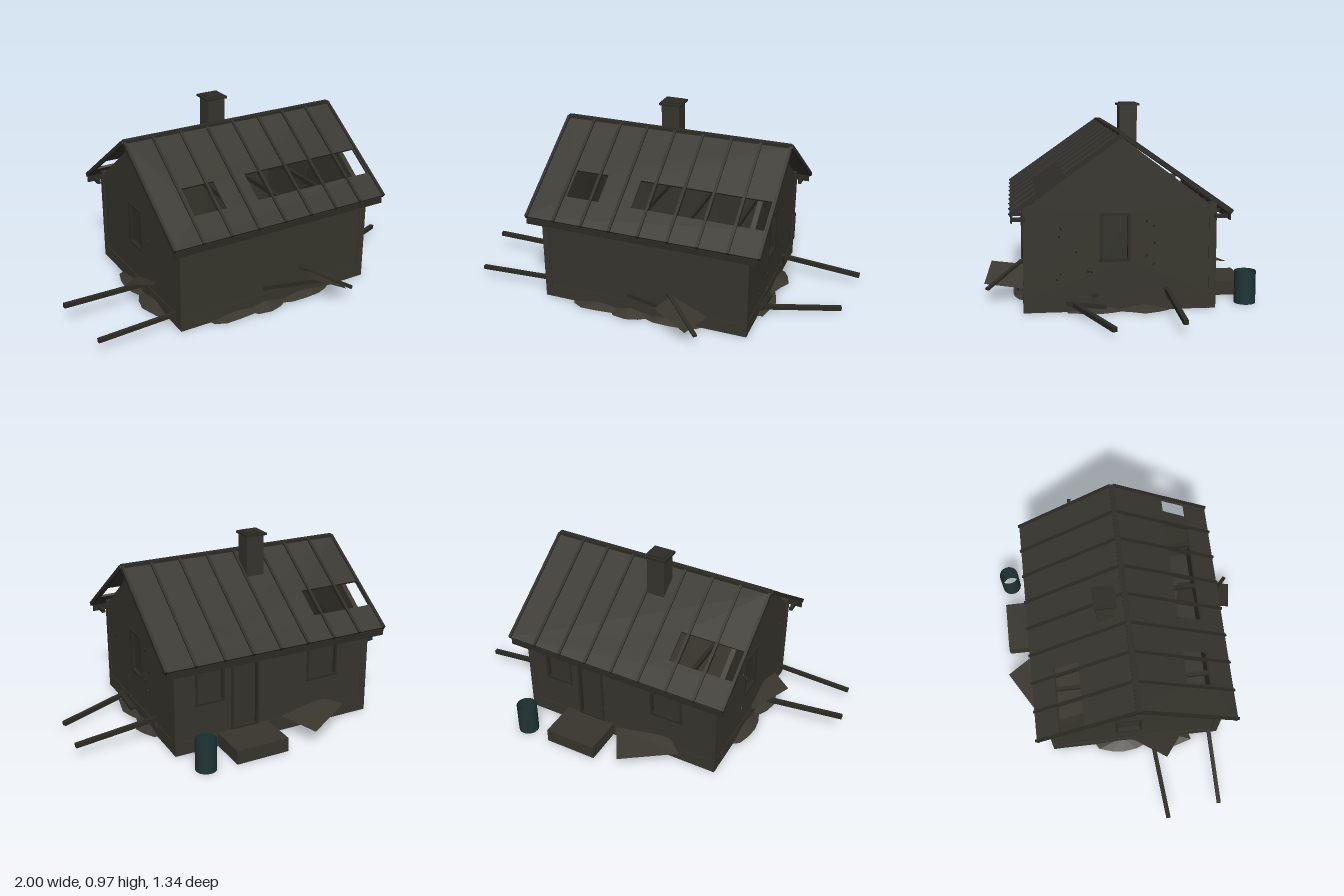
import * as THREE from 'three';

const mat = (name, color, side = THREE.FrontSide) => {
  const m = new THREE.MeshStandardMaterial({ color, side });
  m.name = name;
  return m;
};

export function createModel() {
  const house = new THREE.Group();
  house.name = 'ruinedHouse';
  const wallMat = mat('wall', 0x37352d), roofMat = mat('roof', 0x38362f);
  const trimMat = mat('trim', 0x2c2b25), woodMat = mat('oldWood', 0x2b2a23);
  const paneMat = mat('pane', 0x33322b), rubbleMat = mat('rubble', 0x38362d, THREE.DoubleSide);
  const barrelMat = mat('barrel', 0x1f3536, THREE.DoubleSide);

  let seed = 7;
  const rand = () => (seed = (seed * 16807) % 2147483647) / 2147483647;
  const CX = 0.02, CZ = 0.01; // middle of the house

  const add = (name, geo, material, parent = house) => {
    const m = new THREE.Mesh(geo, material);
    m.name = name;
    parent.add(m);
    return m;
  };
  // box from its minimum and maximum corners
  const box = (name, a, b, material, parent) => {
    const m = add(name, new THREE.BoxGeometry(b[0] - a[0], b[1] - a[1], b[2] - a[2]), material, parent);
    m.position.set((a[0] + b[0]) / 2, (a[1] + b[1]) / 2, (a[2] + b[2]) / 2);
    return m;
  };
  // square timber between two points
  const beam = (name, a, b, w, h = w, material = woodMat) => {
    const p = new THREE.Vector3(...a), q = new THREE.Vector3(...b);
    const m = add(name, new THREE.BoxGeometry(w, h, p.distanceTo(q)), material);
    m.position.copy(p).add(q).multiplyScalar(0.5);
    m.lookAt(q);
    return m;
  };
  const polygon = (pts, holes = []) => {
    const s = new THREE.Shape(pts.map((p) => new THREE.Vector2(...p)));
    for (const [x0, y0, x1, y1] of holes) {
      s.holes.push(new THREE.Path([[x0, y0], [x0, y1], [x1, y1], [x1, y0]].map((p) => new THREE.Vector2(...p))));
    }
    return s;
  };
  const slab = (shape, depth) => new THREE.ExtrudeGeometry(shape, { depth, bevelEnabled: false });

  // raised floor inside a foundation ring, with a hatch frame below
  box('floor', [-0.51, 0.045, -0.43], [0.55, 0.07, 0.45], wallMat);
  for (const z of [-0.453, 0.448]) box('foundation', [-0.525, 0, z], [0.565, 0.07, z + 0.025], wallMat);
  for (const x of [-0.533, 0.548]) box('foundation', [x, 0, -0.42], [x + 0.025, 0.07, 0.44], wallMat);
  for (const x of [-0.11, 0.14]) box('hatchFrame', [x, 0.025, -0.1], [x + 0.015, 0.046, 0.12], wallMat);
  for (const z of [-0.1, 0.105]) box('hatchFrame', [-0.095, 0.025, z], [0.14, 0.046, z + 0.015], wallMat);

  // window or door: pane set back in the opening, with a frame round it (local z is outward)
  const opening = (name, [x0, y0, x1, y1], parent) => {
    const g = new THREE.Group();
    g.name = name;
    parent.add(g);
    box(name + 'Pane', [x0, y0, 0.002], [x1, y1, 0.008], paneMat, g);
    for (const x of [x0, x1]) box(name + 'Jamb', [x - 0.006, y0, 0.008], [x + 0.006, y1, 0.028], trimMat, g);
    for (const y of [y0, y1]) box(name + 'Rail', [x0 - 0.008, y - 0.006, 0.008], [x1 + 0.008, y + 0.006, 0.03], trimMat, g);
  };
  // wall with openings; its outer face is local z = 0.025
  const wall = (name, pts, openings, pos, turn) => {
    const g = new THREE.Group();
    g.name = name;
    g.position.set(...pos);
    g.rotation.y = turn;
    house.add(g);
    add(name + 'Panel', slab(polygon(pts, openings.map((o) => o[1])), 0.025), wallMat, g);
    openings.forEach(([n, r]) => opening(n, r, g));
  };
  const side = [[-0.55, 0.06], [0.55, 0.06], [0.55, 0.48], [-0.55, 0.48]];
  wall('frontWall', side, [], [CX, 0, 0.445], 0);
  wall('backWall', side, [
    ['backWindow', [-0.435, 0.25, -0.29, 0.46]],
    ['door', [-0.24, 0.075, -0.1, 0.46]],
    ['backWindow', [0.19, 0.25, 0.36, 0.46]],
  ], [CX, 0, -0.425], Math.PI);
  const gable = [[-0.46, 0.06], [0.46, 0.06], [0.46, 0.5], [0.43, 0.51], [0, 0.835], [-0.43, 0.51], [-0.46, 0.5]];
  wall('leftGable', gable, [['gableWindow', [-0.092, 0.246, 0.04, 0.468]]], [0.545, 0, CZ], Math.PI / 2);
  wall('rightGable', gable, [['gableWindow', [-0.105, 0.246, 0.027, 0.468]]], [-0.505, 0, CZ], -Math.PI / 2);

  // corner boards
  for (const x of [-0.516, 0.556]) for (const z of [-0.435, 0.455]) {
    box('cornerBoard', [x - 0.018, 0, z - 0.018], [x + 0.018, 0.52, z + 0.018], wallMat);
  }

  // roof slopes with torn openings, standing seams and rafters
  const run = 0.515, rise = 0.362, len = Math.hypot(run, rise), pitch = Math.atan2(rise, run);
  const slopes = [[1, [[-0.417, -0.24], [-0.06, 0.622]]], [-1, [[-0.58, -0.24]]]];
  for (const [s, gaps] of slopes) {
    const turn = new THREE.Group(), g = new THREE.Group();
    turn.name = s > 0 ? 'frontRoof' : 'backRoof';
    turn.position.set(0, 0.837, CZ);
    turn.rotation.y = s > 0 ? 0 : Math.PI;
    g.rotation.x = pitch - Math.PI / 2;
    turn.add(g);
    house.add(turn);
    const x0 = s > 0 ? -0.59 : -0.635, x1 = x0 + 1.225;
    const holes = gaps.map(([a, b]) => [Math.min(a * s, b * s), -0.48, Math.max(a * s, b * s), -0.32]);
    add('roofSheet', slab(polygon([[x0, -len], [x1, -len], [x1, 0], [x0, 0]], holes), 0.012), roofMat, g);
    for (let i = 0; i < 9; i++) {
      const x = (-0.588 + i * 0.153) * s;
      box('roofSeam', [x - 0.007, -len - 0.003, 0.0], [x + 0.007, 0, 0.021], trimMat, g);
    }
    // rafter tails and fascia under the eave
    const z0 = CZ + s * 0.45, z1 = CZ + s * 0.515;
    for (let i = 0; i < 8; i++) {
      const x = -0.55 + i * 0.163;
      box('rafterTail', [x - 0.009, 0.446, Math.min(z0, z1)], [x + 0.009, 0.465, Math.max(z0, z1)], woodMat);
    }
    box('fascia', [-0.59, 0.442, z1 - 0.004], [0.63, 0.474, z1 + 0.004], trimMat);
  }
  box('ridgeCap', [-0.59, 0.838, CZ - 0.014], [0.638, 0.857, CZ + 0.014], trimMat);
  // ceiling ties inside the loft
  for (let i = 0; i < 4; i++) {
    const x = -0.32 + i * 0.25;
    box('ceilingTie', [x - 0.01, 0.45, -0.42], [x + 0.01, 0.475, 0.44], woodMat);
  }

  // chimney
  box('chimney', [-0.078, 0.6, -0.143], [0.018, 0.955, -0.05], wallMat);
  box('chimneyCap', [-0.09, 0.955, -0.155], [0.028, 0.966, -0.04], trimMat);
  box('chimneyTop', [-0.075, 0.966, -0.14], [0.015, 0.972, -0.055], trimMat);

  // back step and open barrel
  box('backStep', [0.06, 0, -0.657], [0.342, 0.073, -0.44], wallMat);
  const barrel = add('barrel', new THREE.CylinderGeometry(0.053, 0.053, 0.162, 20, 1, true), barrelMat);
  barrel.position.set(0.49, 0.081, -0.62);

  // fallen poles sticking out at both ends
  beam('fallenPole', [0.55, 0.102, -0.213], [1.0, 0.06, -0.225], 0.022);
  beam('fallenPole', [0.55, 0.042, 0.25], [0.965, 0.027, 0.082], 0.022);
  beam('fallenPole', [-0.5, 0.085, 0.095], [-1.0, 0.113, 0.132], 0.022);
  beam('fallenPole', [-0.5, 0.078, 0.42], [-0.945, 0.058, 0.42], 0.02);
  // loose planks along the walls
  beam('loosePlank', [-0.06, 0.105, 0.475], [0.32, 0.055, 0.5], 0.012, 0.02);
  beam('loosePlank', [0.16, 0.165, 0.475], [0.37, 0.07, 0.65], 0.02, 0.012);
  beam('loosePlank', [0.585, 0.045, 0.27], [0.585, 0.022, 0.08], 0.03, 0.016);
  beam('loosePlank', [0.58, 0.11, -0.205], [0.58, 0.05, -0.225], 0.012, 0.016);
  beam('loosePlank', [0.58, 0.075, 0.15], [0.58, 0.085, 0.12], 0.012, 0.016);

  // bent sheets leaning against the house
  const sheet = (...corners) => {
    const geo = new THREE.BufferGeometry();
    geo.setAttribute('position', new THREE.Float32BufferAttribute(corners.flat(), 3));
    geo.setIndex([0, 1, 2, 0, 2, 3]);
    const flat = geo.toNonIndexed();
    flat.computeVertexNormals();
    add('fallenSheet', flat, rubbleMat);
  };
  sheet([0.15, 0.165, 0.63], [0.32, 0.085, 0.665], [0.39, 0.06, 0.375], [0.21, 0.14, 0.335]);
  sheet([-0.55, 0.08, 0], [-0.44, 0.085, 0.08], [-0.57, 0.16, 0.25], [-0.68, 0.155, 0.165]);
  sheet([0.01, 0.11, -0.5], [-0.09, 0.075, -0.67], [-0.36, 0.1, -0.51], [-0.27, 0.12, -0.44]);

  // low jagged mounds of rubble at the foot of the walls
  const mound = (x, z, rx, rz, h) => {
    const sides = 12, pts = [];
    for (let i = 0; i < sides; i++) {
      const a = (i / sides) * Math.PI * 2, r = 0.7 + 0.3 * rand();
      pts.push([x + Math.cos(a) * rx * r, 0.001, z + Math.sin(a) * rz * r]);
    }
    const tris = pts.flatMap((p, i) => [[x, h, z], pts[(i + 1) % sides], p]);
    const geo = new THREE.BufferGeometry();
    geo.setAttribute('position', new THREE.Float32BufferAttribute(tris.flat(), 3));
    geo.computeVertexNormals();
    add('rubble', geo, rubbleMat);
  };
  mound(-0.22, 0.46, 0.19, 0.08, 0.025);
  mound(-0.05, 0.46, 0.16, 0.09, 0.03);
  mound(0.18, 0.46, 0.18, 0.07, 0.025);
  for (const [x, z] of [[0.555, 0.12], [0.555, -0.1], [-0.52, 0.18], [-0.52, -0.06]]) {
    mound(x, z, 0.09, 0.17, 0.035);
  }

  // splinters standing out of the gables
  for (let i = 0; i < 24; i++) {
    const x = i < 14 ? 0.576 : -0.534, z = -0.15 + 0.5 * rand(), y = 0.15 + 0.28 * rand();
    if (z > -0.06 && z < 0.13) continue;
    beam('splinter', [x, y, z], [x + 0.008, y + 0.012, z - 0.01 + 0.02 * rand()], 0.005, 0.005, trimMat);
  }
  return house;
}
